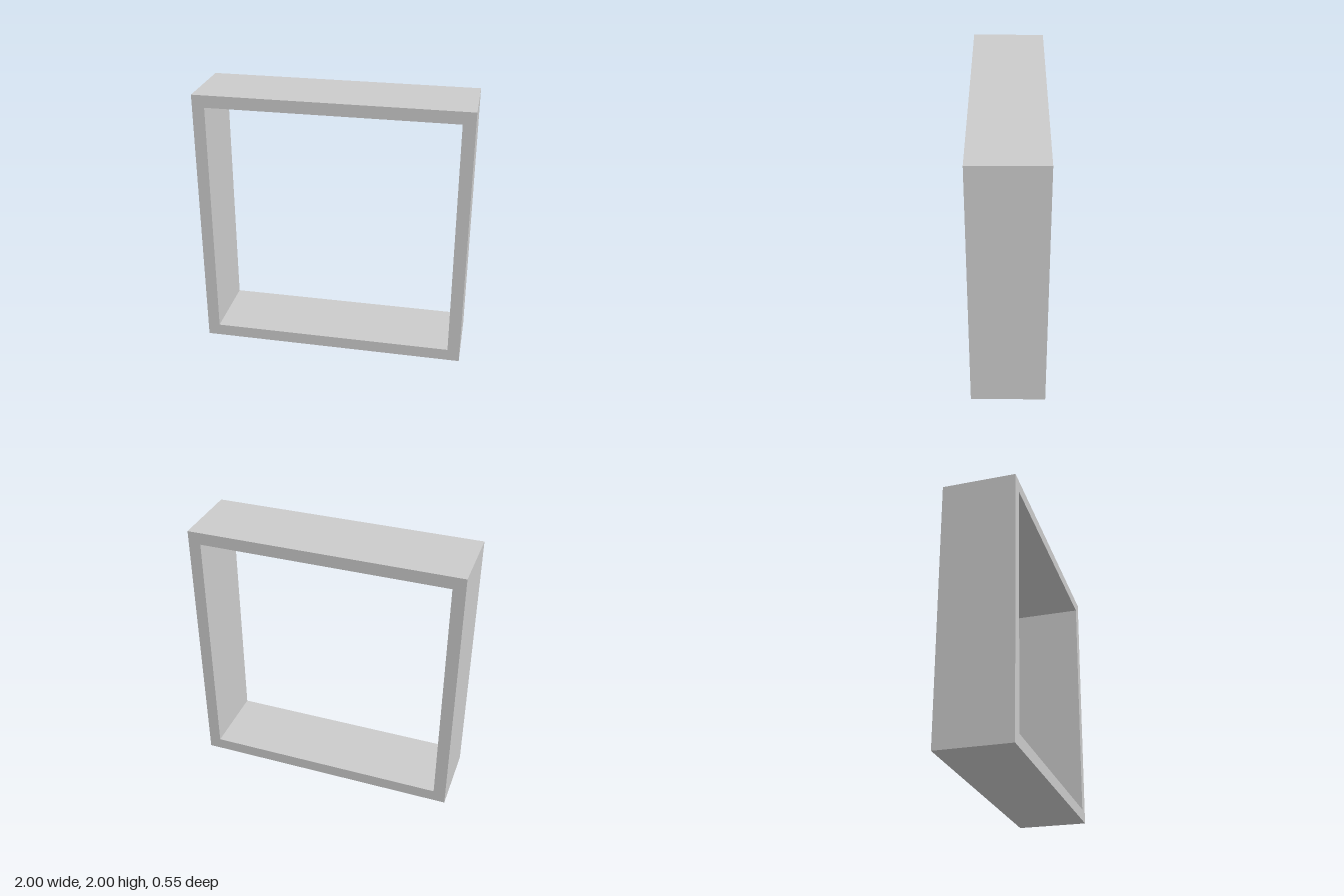
import * as THREE from 'three';

const SIZE = 2;       // outer width and height
const WALL = 0.091;   // board thickness
const DEPTH = 0.545;  // front to back

// Square outline centred on the origin
function square(PathType, half) {
  return new PathType([
    new THREE.Vector2(-half, -half),
    new THREE.Vector2(half, -half),
    new THREE.Vector2(half, half),
    new THREE.Vector2(-half, half),
  ]);
}

export function createModel() {
  const group = new THREE.Group();
  group.name = 'squareFrame';

  // Open square frame: outer outline with a square hole, extruded along z
  const outline = square(THREE.Shape, SIZE / 2);
  outline.holes.push(square(THREE.Path, SIZE / 2 - WALL));
  const geometry = new THREE.ExtrudeGeometry(outline, { depth: DEPTH, bevelEnabled: false });
  geometry.translate(0, SIZE / 2, -DEPTH / 2);

  const frame = new THREE.Mesh(
    geometry,
    new THREE.MeshStandardMaterial({ color: 0xcccccc, flatShading: true })
  );
  frame.name = 'frame';
  group.add(frame);

  return group;
}
